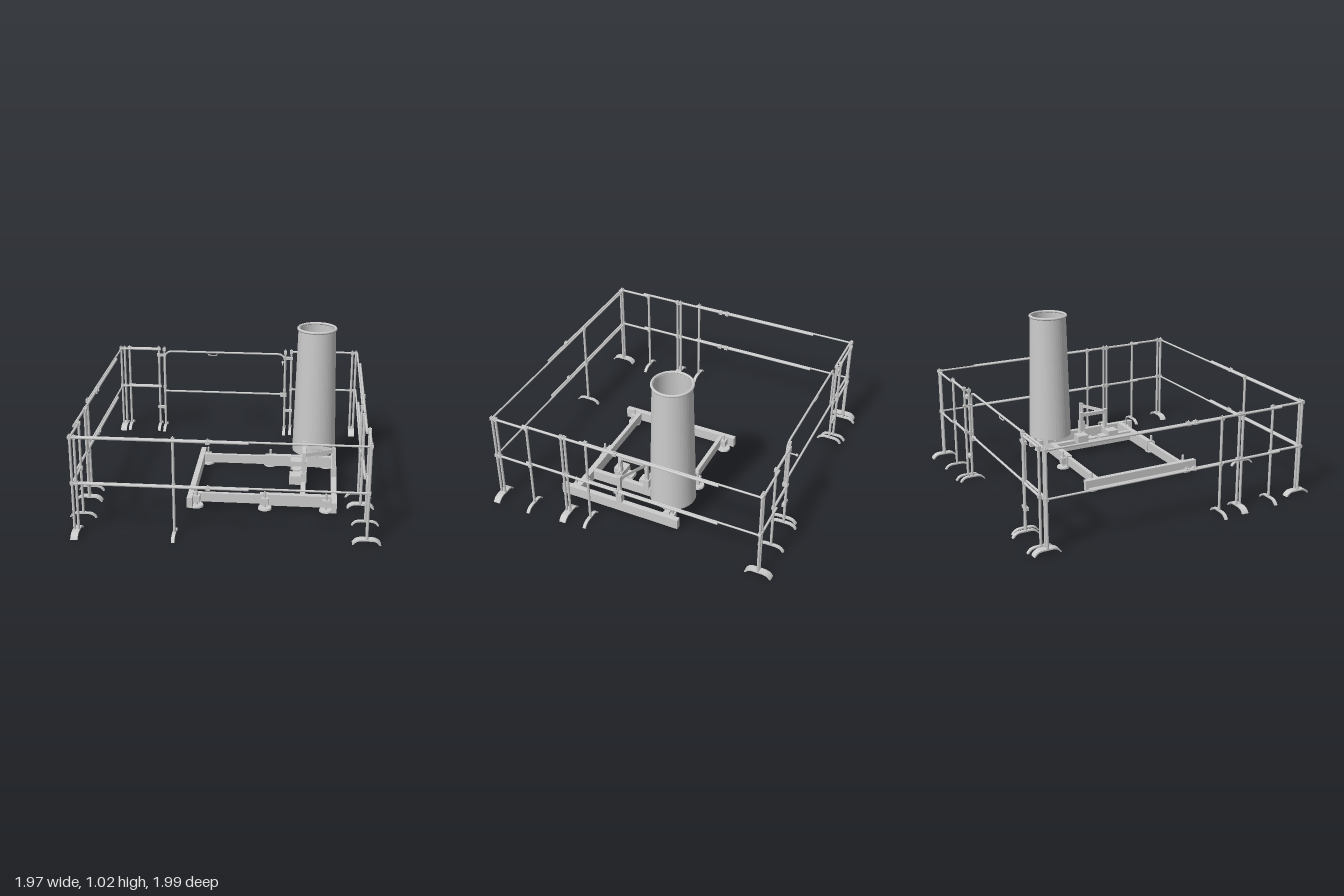
import * as THREE from 'three';

const mat = new THREE.MeshStandardMaterial({ color: 0xcccccc, side: THREE.DoubleSide });

export function createModel() {
  const model = new THREE.Group();
  const add = (name, geo, x = 0, y = 0, z = 0, parent = model) => {
    const m = new THREE.Mesh(geo, mat);
    m.name = name;
    m.position.set(x, y, z);
    parent.add(m);
    return m;
  };
  // Box given by its minimum and maximum on each axis
  const box = (name, x0, x1, y0, y1, z0, z1) =>
    add(name, new THREE.BoxGeometry(x1 - x0, y1 - y0, z1 - z0), (x0 + x1) / 2, (y0 + y1) / 2, (z0 + z1) / 2);
  // Round bar between two points
  const rod = (name, a, b, r) => {
    const p = new THREE.Vector3(...a), d = new THREE.Vector3(...b).sub(p);
    const m = add(name, new THREE.CylinderGeometry(r, r, d.length(), 12));
    m.position.copy(p).addScaledVector(d, 0.5);
    m.quaternion.setFromUnitVectors(new THREE.Vector3(0, 1, 0), d.normalize());
    return m;
  };

  // Arched strap foot, spanning local x
  const arch = new THREE.Shape();
  arch.moveTo(-0.087, 0);
  arch.quadraticCurveTo(-0.07, 0.034, -0.03, 0.034);
  arch.lineTo(0.03, 0.034);
  arch.quadraticCurveTo(0.07, 0.034, 0.087, 0);
  arch.lineTo(0.077, 0);
  arch.quadraticCurveTo(0.062, 0.025, 0.03, 0.025);
  arch.lineTo(-0.03, 0.025);
  arch.quadraticCurveTo(-0.062, 0.025, -0.077, 0);

  // Fence posts: x, z, foot direction, double post on a wide foot
  const TOP = 0.632, MID = 0.337;
  const posts = [
    [-0.9, 0.28, 'x', 0], [-0.88, 0.435, 'x', 1], [-0.865, 0.68, 'x', 0],
    [0.865, 0.24, 'x', 0], [0.875, 0.395, 'x', 1], [0.897, 0.64, 'x', 0], [0.897, 0.88, 'x', 1],
    [-0.855, 0.905, 'z', 1], [-0.258, 0.89, 'z', 0],
    [-0.89, -0.885, 'z', 1], [-0.843, -0.9, 'z', 0], [-0.618, -0.9, 'z', 0], [-0.575, -0.885, 'z', 0],
    [0.335, -0.885, 'z', 0], [0.38, -0.9, 'z', 0], [0.605, -0.9, 'z', 0], [0.845, -0.913, 'z', 1],
  ];
  for (const [x, z, dir, wide] of posts) {
    const post = new THREE.Group();
    post.name = 'fencePost';
    post.position.set(x, 0, z);
    if (dir === 'z') post.rotation.y = Math.PI / 2;
    model.add(post);
    const w = wide ? 0.044 : 0.021;
    const strap = new THREE.ExtrudeGeometry(arch, { depth: w, bevelEnabled: false, curveSegments: 5 });
    add('archedFoot', strap, 0, 0, -w / 2, post);
    for (const o of wide ? [-0.013, 0.013] : [0]) {
      add('upright', new THREE.CylinderGeometry(0.0085, 0.0085, 0.61, 12), 0, 0.335, o, post);
      for (const y of [TOP, MID]) {
        add('railClamp', new THREE.BoxGeometry(0.022, 0.022, 0.022), 0, y, o, post);
        add('clampBolt', new THREE.CylinderGeometry(0.004, 0.004, 0.014, 8), 0, y + 0.014, o, post);
      }
    }
  }

  // Telescopic rails at two heights: x0, z0, x1, z1, radius
  const rails = [
    [-0.9, -0.88, -0.9, 0.3, 0.0065], [-0.885, -0.61, -0.885, 0.73, 0.0085], [-0.867, 0.67, -0.867, 0.92, 0.008],
    [0.867, -0.92, 0.867, 0.28, 0.0065], [0.88, -0.65, 0.88, 0.68, 0.0085], [0.898, 0.63, 0.898, 0.9, 0.008],
    [-0.88, 0.91, 0.19, 0.91, 0.0085], [-0.86, 0.894, 0.91, 0.894, 0.0065],
    [-0.9, -0.877, -0.6, -0.877, 0.0075], [-0.85, -0.9, -0.61, -0.9, 0.0085],
    [0.37, -0.903, 0.61, -0.903, 0.0085], [0.6, -0.918, 0.865, -0.918, 0.0075],
  ];
  for (const y of [TOP, MID]) {
    for (const [x0, z0, x1, z1, r] of rails) rod('guardRail', [x0, y, z0], [x1, y, z1], r);
    for (const [x, z] of [[-0.05, 0.91], [-0.885, 0.05], [-0.885, 0.1], [0.88, 0.03]]) {
      add('sleeveLock', new THREE.BoxGeometry(0.026, 0.022, 0.026), x, y, z);
      add('lockBolt', new THREE.CylinderGeometry(0.004, 0.004, 0.014, 8), x, y + 0.014, z);
    }
  }

  // Gate: rounded hoop with a lower bar, hinges, handle and latch
  const gz = -0.87, gl = -0.57, gr = 0.333, gy = 0.622, c = 0.06;
  const v = (x, y) => new THREE.Vector3(x, y, gz);
  const hoop = new THREE.CurvePath();
  hoop.add(new THREE.LineCurve3(v(gl, 0.3), v(gl, gy - c)));
  hoop.add(new THREE.QuadraticBezierCurve3(v(gl, gy - c), v(gl, gy), v(gl + c, gy)));
  hoop.add(new THREE.LineCurve3(v(gl + c, gy), v(gr - c, gy)));
  hoop.add(new THREE.QuadraticBezierCurve3(v(gr - c, gy), v(gr, gy), v(gr, gy - c)));
  hoop.add(new THREE.LineCurve3(v(gr, gy - c), v(gr, 0.3)));
  add('gateHoop', new THREE.TubeGeometry(hoop, 140, 0.0075, 10));
  rod('gateLowerBar', [gl, 0.308, gz], [gr, 0.308, gz], 0.0075);
  for (const [x, y] of [[-0.6, 0.585], [-0.6, 0.17], [0.36, 0.585], [0.36, 0.17]])
    box('gateHinge', x - 0.032, x + 0.032, y - 0.01, y + 0.01, -0.9, -0.88);
  const grip = new THREE.CatmullRomCurve3([v(-0.245, gy), v(-0.238, 0.6), v(-0.178, 0.6), v(-0.171, gy)], false, 'catmullrom', 0.1);
  add('gateHandle', new THREE.TubeGeometry(grip, 24, 0.004, 8));
  rod('latchPin', [0.315, 0.54, -0.87], [0.315, 0.54, -0.93], 0.005);
  add('latchKnob', new THREE.SphereGeometry(0.01, 12, 8), 0.315, 0.54, -0.93);
  box('latch', 0.3, 0.35, 0.29, 0.315, -0.885, -0.86);

  // Base frame
  for (const [x0, x1] of [[-0.23, -0.195], [0.687, 0.722]])
    box('endBeam', x0, x1, 0.018, 0.088, -0.31, 0.53);
  for (const z of [-0.212, 0.425]) {
    box('longBeam', -0.2, 0.69, 0.022, 0.082, z - 0.013, z + 0.013);
    box('beamSleeve', 0.23, 0.688, 0.014, 0.09, z - 0.019, z + 0.019);
  }
  box('middleBeam', 0.488, 0.52, 0.02, 0.088, -0.2, 0.41);

  // Levelling pads with screws and brackets
  for (const x of [-0.175, 0.265, 0.655])
    for (const s of [-1, 1]) {
      const z = s < 0 ? -0.245 : 0.458;
      add('levellingPad', new THREE.CylinderGeometry(0.042, 0.045, 0.012, 24), x, 0.006, z);
      add('levellingScrew', new THREE.CylinderGeometry(0.008, 0.008, 0.11, 12), x, 0.062, z);
      box('padBracket', x - 0.022, x + 0.022, 0.03, 0.075, z - 0.018, z + 0.018);
    }

  // Tapered stack, open through, with a rolled rim
  const cx = 0.565, cz = -0.207;
  const wall = [[0.128, 0.15], [0.148, 0.15], [0.148, 0.155], [0.125, 1.008], [0.118, 1.008], [0.14, 0.157], [0.128, 0.15]];
  const stack = new THREE.LatheGeometry(wall.map(p => new THREE.Vector2(...p)), 48);
  const flat = stack.toNonIndexed();
  flat.computeVertexNormals();
  add('stack', flat, cx, 0, cz);
  const rim = add('stackRim', new THREE.TorusGeometry(0.125, 0.009, 10, 48), cx, 1.016, cz);
  rim.rotation.x = Math.PI / 2;

  // Cross support under the stack
  box('stackCrossBar', cx - 0.128, cx + 0.128, 0.125, 0.152, cz - 0.012, cz + 0.012);
  box('stackCrossBar', cx - 0.012, cx + 0.012, 0.125, 0.152, cz - 0.128, cz + 0.128);
  box('stackPedestal', cx - 0.04, cx + 0.04, 0.088, 0.126, cz - 0.035, cz + 0.035);

  // Bracing frame: three uprights joined by a bar and two thin stays
  const feet = [[0.505, 0.012], [0.505, 0.205], [0.702, 0.108]];
  for (const [x, z] of feet) {
    box('bracePost', x - 0.012, x + 0.012, 0.085, 0.29, z - 0.012, z + 0.012);
    box('braceClamp', x - 0.02, x + 0.02, 0.085, 0.15, z - 0.02, z + 0.02);
  }
  box('braceBar', 0.493, 0.517, 0.258, 0.282, 0.012, 0.205);
  for (const [x, z] of feet.slice(0, 2)) {
    const dx = 0.702 - x, dz = 0.108 - z;
    const stay = add('braceStay', new THREE.BoxGeometry(Math.hypot(dx, dz), 0.024, 0.005), (x + 0.702) / 2, 0.27, (z + 0.108) / 2);
    stay.rotation.y = -Math.atan2(dz, dx);
  }

  // Ballast blocks on the middle beam
  for (const [z0, z1, s] of [[-0.055, 0.025, 1], [0.185, 0.265, -1]]) {
    box('ballastBlock', 0.412, 0.49, 0.085, 0.145, z0, z1);
    box('ballastStep', 0.428, 0.49, 0.085, 0.11, s > 0 ? z1 : z0 - 0.055, s > 0 ? z1 + 0.055 : z0);
  }
  return model;
}
